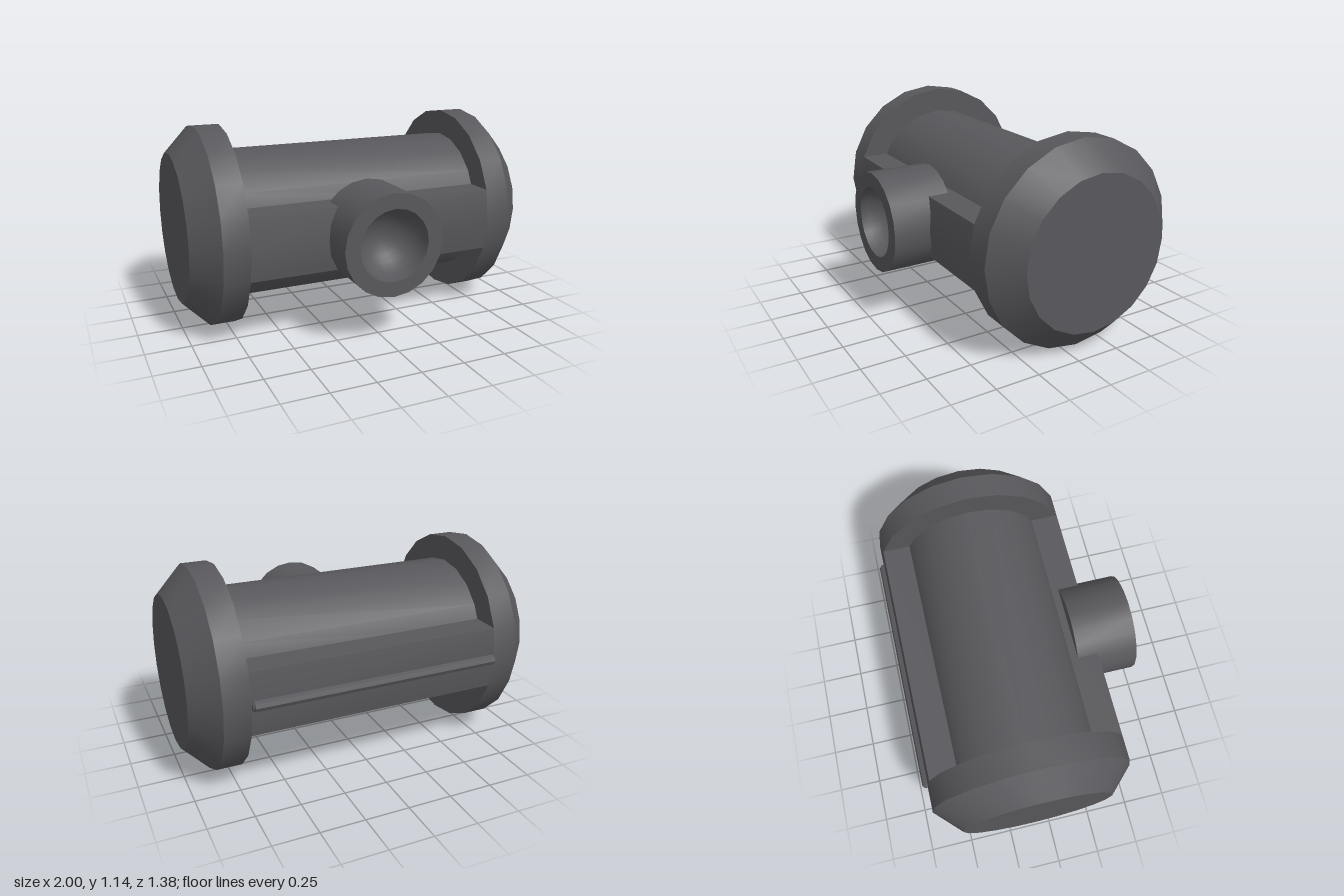
import * as THREE from 'three';
import { toCreasedNormals } from 'three/addons/utils/BufferGeometryUtils.js';

const SIDES = 20, R = 0.572, CORE_R = 0.427, BODY_X = 0.713;
const CENTRE_Y = 0.572, CENTRE_Z = -0.088;

export function createModel() {
  const model = new THREE.Group();
  model.name = 'cylinderBody';
  const darkGrey = new THREE.MeshStandardMaterial({ color: 0x58575b });
  darkGrey.name = 'darkGrey';

  // Everything is placed around the body's own axis
  const body = new THREE.Group();
  body.name = 'body';
  body.position.set(0, CENTRE_Y, CENTRE_Z);
  model.add(body);

  function add(name, geometry) {
    const mesh = new THREE.Mesh(toCreasedNormals(geometry, 0.6), darkGrey);
    mesh.name = name;
    body.add(mesh);
    return mesh;
  }
  const lathe = (points, sides = SIDES) =>
    new THREE.LatheGeometry(points.map(([r, h]) => new THREE.Vector2(r, h)), sides);

  // Central core, running along x
  add('core', new THREE.CylinderGeometry(CORE_R, CORE_R, BODY_X * 2, SIDES, 1, true).rotateZ(-Math.PI / 2));

  // Chamfered end caps
  const capProfile = [[0, BODY_X], [R, BODY_X], [R, 0.857], [CORE_R, 1], [0, 1]];
  for (const side of [1, -1]) {
    add(side > 0 ? 'leftEndCap' : 'rightEndCap', lathe(capProfile).rotateZ(-side * Math.PI / 2));
  }

  // Front and back bars joining the caps, two facets wide
  const a = Math.PI / 10;
  const barShape = new THREE.Shape([
    new THREE.Vector2(0.3, -R * Math.sin(a)),
    new THREE.Vector2(R * Math.cos(a), -R * Math.sin(a)),
    new THREE.Vector2(R, 0),
    new THREE.Vector2(R * Math.cos(a), R * Math.sin(a)),
    new THREE.Vector2(0.3, R * Math.sin(a)),
  ]);
  for (const front of [true, false]) {
    const geometry = new THREE.ExtrudeGeometry(barShape, { depth: BODY_X * 2, bevelEnabled: false });
    geometry.translate(0, 0, -BODY_X).rotateY(front ? -Math.PI / 2 : Math.PI / 2);
    add(front ? 'frontBar' : 'backBar', geometry);
  }

  // Front socket with a rounded hollow
  const back = 0.337 - CENTRE_Z, rim = 0.688 - CENTRE_Z, hole = 0.2;
  const socket = [[0, back], [0.285, back], [0.285, rim]];
  for (let i = 0; i <= 8; i++) {
    const t = (i / 8) * Math.PI / 2;
    socket.push([i === 8 ? 0 : hole * Math.cos(t), rim - hole * Math.sin(t)]);
  }
  add('frontSocket', lathe(socket).rotateX(Math.PI / 2));

  // Thin rod with chamfered ends along the back
  const rod = add('backRod', lathe([
    [0, -0.712], [0.018, -0.712], [0.03, -0.7], [0.03, 0.7], [0.018, 0.712], [0, 0.712],
  ], 8).rotateZ(-Math.PI / 2));
  rod.position.z = -0.658 - CENTRE_Z;

  return model;
}
